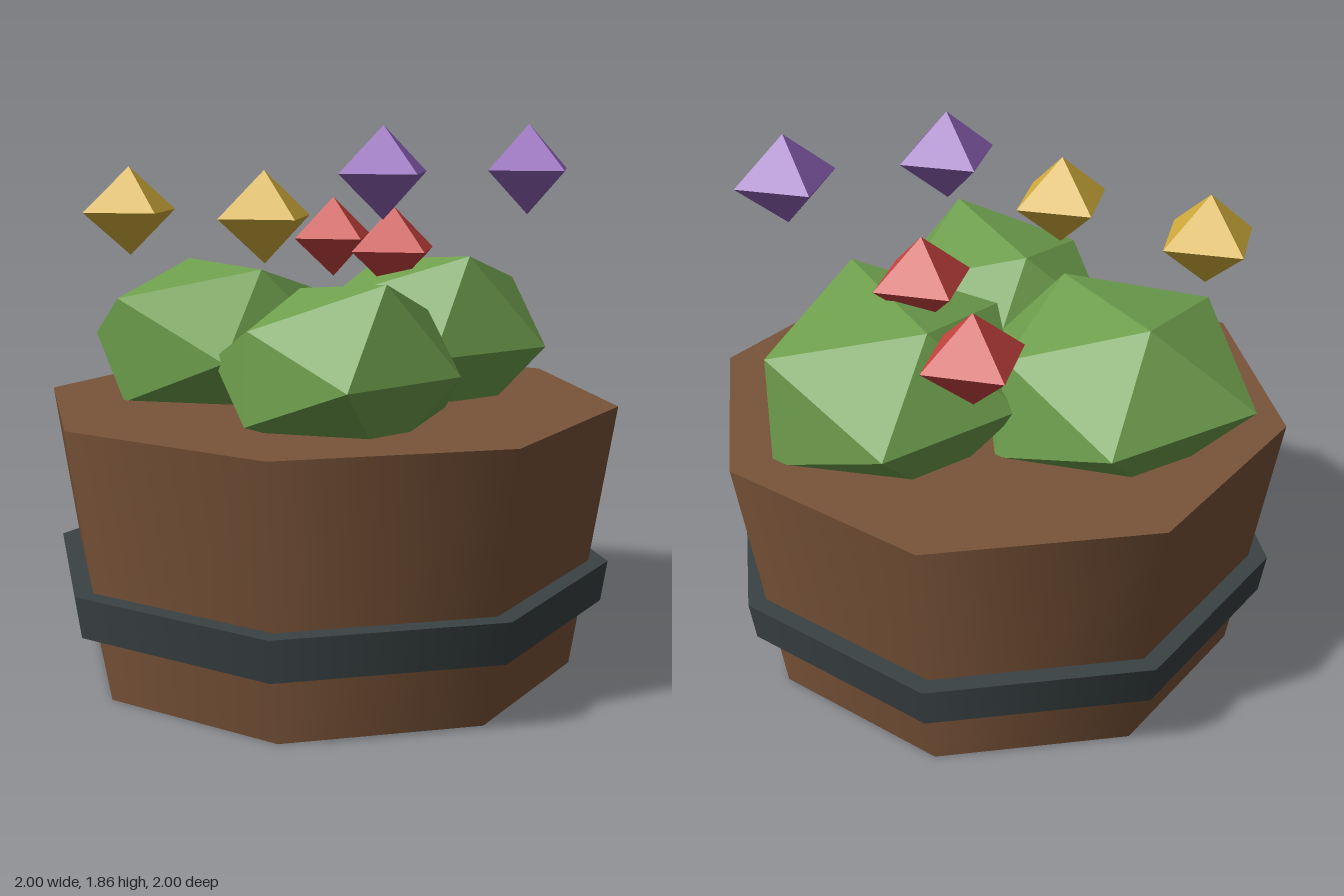
import * as THREE from 'three';

const mat = (name, color, flatShading = false) => {
  const m = new THREE.MeshStandardMaterial({ color, flatShading });
  m.name = name;
  return m;
};

// Low-poly bush: an icosahedron whose corners sit at individual radii, squashed in height.
// Radii order: topFront, topBack, lowFront, lowBack, rightUp, leftUp, rightLow, leftLow,
// midFrontRight, midFrontLeft, midBackRight, midBackLeft (right = +x)
function bushGeometry(radii) {
  const geo = new THREE.IcosahedronGeometry(1, 0).rotateY(Math.PI / 2);
  const pos = geo.attributes.position;
  const v = new THREE.Vector3();
  const neg = (n) => (n < 0 ? 1 : 0);
  for (let i = 0; i < pos.count; i++) {
    v.fromBufferAttribute(pos, i);
    let k;
    if (Math.abs(v.x) < 0.01) k = neg(v.y) * 2 + neg(v.z);
    else if (Math.abs(v.z) < 0.01) k = 4 + neg(v.y) * 2 + neg(v.x);
    else k = 8 + neg(v.z) * 2 + neg(v.x);
    v.multiplyScalar(radii[k]);
    pos.setXYZ(i, v.x, v.y * 0.7, v.z);
  }
  geo.computeVertexNormals();
  return geo;
}

export function createModel() {
  const group = new THREE.Group();
  const wood = mat('wood', 0x7a5439);
  const iron = mat('iron', 0x3a4244);
  const leaf = mat('leaf', 0x6fa04e, true);
  const red = mat('red petal', 0xc8443f, true);
  const yellow = mat('yellow petal', 0xd4af3c, true);
  const purple = mat('purple petal', 0x9062b8, true);

  const add = (name, geo, material, x, y, z) => {
    const mesh = new THREE.Mesh(geo, material);
    mesh.name = name;
    mesh.position.set(x, y, z);
    group.add(mesh);
  };

  // Tapered tub and its hoop
  add('tub', new THREE.CylinderGeometry(1, 0.86, 0.92, 8), wood, 0, 0.46, 0);
  add('hoop', new THREE.CylinderGeometry(0.983, 0.962, 0.142, 8), iron, 0, 0.305, 0);

  // Bushes
  const bushes = [
    ['frontBush', -0.2, 0.345, [0.494, 0.4, 0.45, 0.45, 0.435, 0.4, 0.52, 0.417, 0.418, 0.457, 0.46, 0.45]],
    ['backBush', -0.2, -0.35, [0.466, 0.466, 0.49, 0.49, 0.45, 0.5, 0.494, 0.48, 0.45, 0.494, 0.54, 0.535]],
    ['sideBush', 0.4, 0, [0.538, 0.456, 0.5, 0.5, 0.53, 0.47, 0.53, 0.48, 0.475, 0.465, 0.533, 0.47]],
  ];
  for (const [name, x, z, radii] of bushes) add(name, bushGeometry(radii), leaf, x, 1.09, z);

  // Blossoms
  const blossom = new THREE.OctahedronGeometry(0.18, 0).scale(1, 0.85, 1);
  const blossoms = [
    ['yellowBlossom', yellow, -0.51, 1.56, -0.465],
    ['yellowBlossom', yellow, -0.285, 1.56, 0.05],
    ['redBlossom', red, 0.285, 1.42, 0],
    ['redBlossom', red, 0.415, 1.42, -0.55],
    ['purpleBlossom', purple, 0.025, 1.705, 0.285],
    ['purpleBlossom', purple, 0.58, 1.705, 0.37],
  ];
  for (const [name, material, x, y, z] of blossoms) add(name, blossom, material, x, y, z);

  return group;
}
